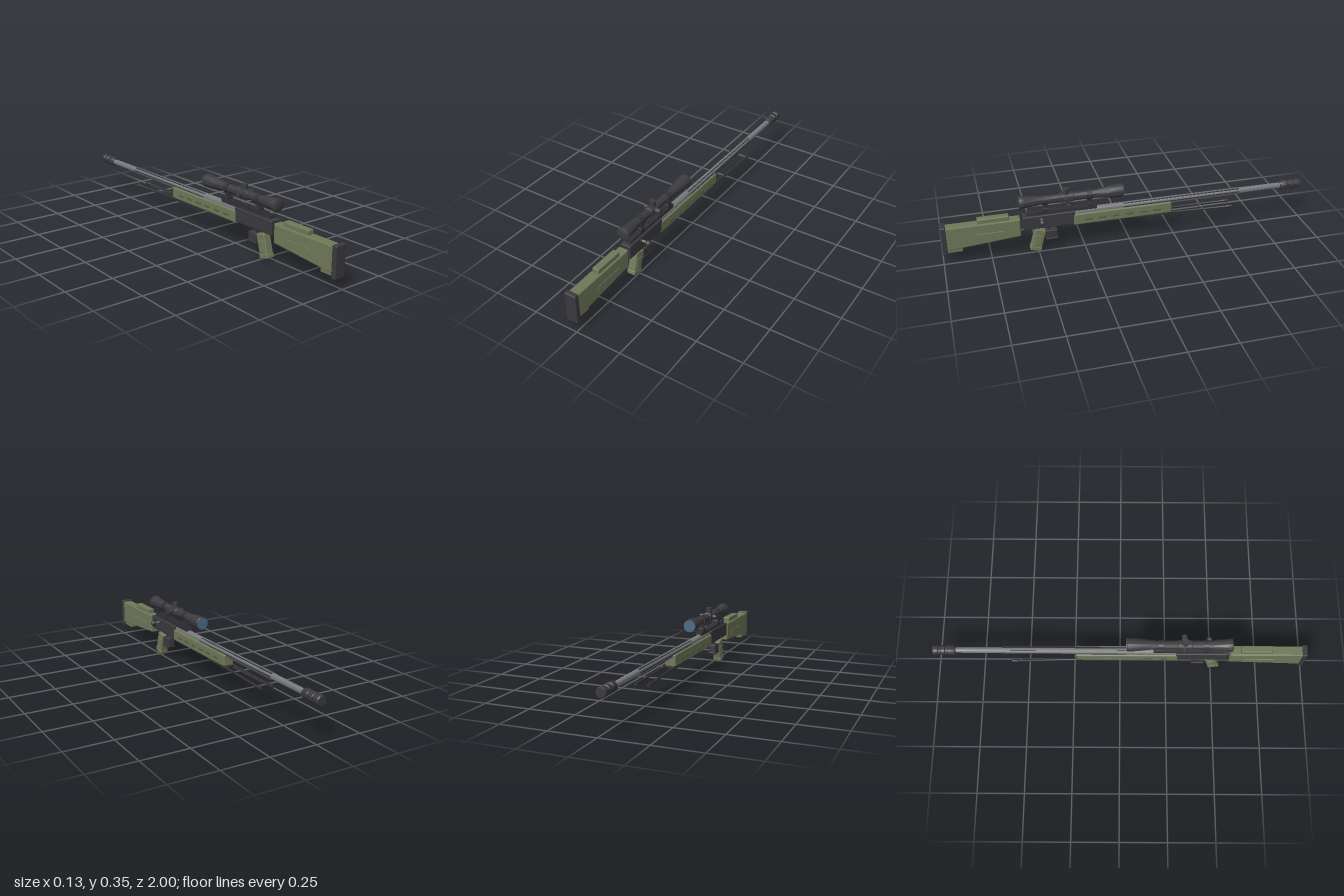
import * as THREE from 'three';
import { toCreasedNormals } from 'three/addons/utils/BufferGeometryUtils.js';
import { RoundedBoxGeometry } from 'three/addons/geometries/RoundedBoxGeometry.js';

const paint = (name, color) => {
  const m = new THREE.MeshStandardMaterial({ color });
  m.name = name;
  return m;
};

export function createModel() {
  const green = paint('olive green', 0x6f7859);
  const darkGreen = paint('dark olive', 0x565d44);
  const gunmetal = paint('gunmetal', 0x3a3a3f);
  const black = paint('black polymer', 0x333337);
  const steel = paint('barrel steel', 0x77797e);
  const scopeGrey = paint('scope grey', 0x3c3c40);
  const glass = paint('lens blue', 0x4a6a85);

  // everything except the bolt handle is centred on the bore line
  const model = new THREE.Group();
  model.name = 'rifle';
  const gun = new THREE.Group();
  gun.name = 'rifleBody';
  gun.position.x = -0.0205;
  model.add(gun);

  const add = (name, geo, mat, x = 0, y = 0, z = 0, parent = gun) => {
    const mesh = new THREE.Mesh(geo, mat);
    mesh.name = name;
    mesh.position.set(x, y, z);
    parent.add(mesh);
    return mesh;
  };
  // box given by its height and length ranges
  const block = (name, mat, w, y0, y1, z0, z1, r = 0.004, x = 0) =>
    add(name, r ? new RoundedBoxGeometry(w, y1 - y0, z1 - z0, 2, r) : new THREE.BoxGeometry(w, y1 - y0, z1 - z0),
      mat, x, (y0 + y1) / 2, (z0 + z1) / 2);
  // turned part along z, profile as [z, radius] with z increasing
  const turned = (name, mat, profile, y, x = 0, sides = 28) => {
    const geo = new THREE.LatheGeometry(profile.map(([z, r]) => new THREE.Vector2(r, z)), sides);
    geo.rotateX(Math.PI / 2);
    return add(name, toCreasedNormals(geo, 0.6), mat, x, y, 0);
  };
  // side outline in (z, y) extruded across the width
  const slab = (name, mat, outline, width, bevel) => {
    const shape = new THREE.Shape(outline.map(([z, y]) => new THREE.Vector2(z, y)));
    const depth = width - 2 * bevel;
    const geo = new THREE.ExtrudeGeometry(shape, {
      depth, bevelEnabled: true, bevelSize: bevel, bevelThickness: bevel, bevelOffset: -bevel, bevelSegments: 2,
    });
    geo.translate(0, 0, -depth / 2).rotateY(-Math.PI / 2);
    return add(name, geo, mat);
  };
  const crossPin = (name, mat, r, len, x, y, z, sides = 20) =>
    add(name, new THREE.CylinderGeometry(r, r, len, sides).rotateZ(Math.PI / 2), mat, x, y, z);

  // --- butt stock ---
  slab('stock', green, [[0.59, 0.118], [0.978, 0.086], [0.978, 0.218], [0.59, 0.218]], 0.056, 0.006);
  block('buttPad', gunmetal, 0.065, 0.062, 0.226, 0.973, 1.0, 0.006);
  block('cheekRest', green, 0.038, 0.21, 0.243, 0.645, 0.81, 0.005);
  block('stockToe', green, 0.036, 0.068, 0.1, 0.895, 0.978, 0.004);
  block('stockPanel', green, 0.06, 0.132, 0.164, 0.67, 0.83, 0.002);

  // --- receiver, magazine and trigger ---
  block('receiver', gunmetal, 0.058, 0.15, 0.226, 0.3, 0.575, 0.005);
  block('magazine', gunmetal, 0.04, 0.078, 0.124, 0.395, 0.455, 0.003);
  block('magazineFloorPlate', black, 0.046, 0.07, 0.08, 0.39, 0.459, 0.003);
  block('trigger', black, 0.008, 0.12, 0.155, 0.435, 0.443, 0);

  // --- pistol grip, raked back ---
  const grip = new THREE.Group();
  grip.name = 'grip';
  grip.position.set(0, 0.075, 0.5);
  grip.rotation.x = -0.27;
  gun.add(grip);
  add('gripBody', new RoundedBoxGeometry(0.044, 0.124, 0.058, 2, 0.006), green, 0, 0, 0, grip);
  add('gripSidePanels', new RoundedBoxGeometry(0.05, 0.062, 0.036, 2, 0.003), green, 0, -0.002, 0, grip);
  add('gripBase', new RoundedBoxGeometry(0.048, 0.024, 0.061, 2, 0.005), green, 0, -0.053, 0, grip);

  // --- top rail with teeth ---
  block('topRail', black, 0.034, 0.222, 0.236, 0.178, 0.55, 0);
  for (let i = 0; i < 21; i++) {
    const z = 0.18 + i * 0.018;
    block('railTooth', black, 0.036, 0.234, 0.245, z, z + 0.009, 0);
  }

  // --- fore-end with vents and lower rail ---
  block('foreEnd', green, 0.06, 0.142, 0.207, -0.235, 0.312, 0.008);
  for (let i = 0; i < 6; i++) {
    const z = 0.23 - i * 0.0765;
    for (const s of [-1, 1]) block('ventSlot', darkGreen, 0.008, 0.167, 0.178, z - 0.021, z + 0.021, 0.002, s * 0.0295);
  }
  block('lowerRail', black, 0.03, 0.132, 0.144, -0.22, -0.045, 0);
  for (let i = 0; i < 9; i++) {
    const z = -0.218 + i * 0.0195;
    block('lowerRailTooth', black, 0.032, 0.126, 0.134, z, z + 0.01, 0);
  }

  // --- folded bipod ---
  block('bipodHinge', black, 0.06, 0.132, 0.148, -0.235, -0.2, 0.003);
  for (const s of [-1, 1]) {
    const leg = turned('bipodLeg', black, [
      [-0.37, 0], [-0.37, 0.009], [-0.34, 0.009], [-0.335, 0.006], [-0.02, 0.0065], [-0.02, 0],
    ], 0.143, s * 0.026);
    leg.position.z = -0.212;
    leg.rotation.set(-0.02, s * -0.02, 0);
  }

  // --- barrel with raised ribs ---
  turned('barrel', steel, [[-0.9, 0], [-0.9, 0.015], [-0.6, 0.0165], [0.2, 0.02], [0.31, 0.02], [0.31, 0]], 0.209);
  for (let i = 0; i < 6; i++) {
    const a = (i * Math.PI) / 3;
    const rib = add('barrelRib', new THREE.BoxGeometry(0.006, 0.006, 0.66), gunmetal,
      Math.cos(a) * 0.0175, 0.209 + Math.sin(a) * 0.0175, -0.3);
    rib.rotation.z = a;
  }

  // --- muzzle brake ---
  turned('muzzleBrake', gunmetal, [
    [-1, 0], [-1, 0.022], [-0.994, 0.026], [-0.972, 0.026], [-0.968, 0.022], [-0.958, 0.022], [-0.954, 0.026],
    [-0.934, 0.026], [-0.93, 0.022], [-0.92, 0.022], [-0.916, 0.026], [-0.885, 0.026], [-0.875, 0.02], [-0.875, 0],
  ], 0.209);
  for (const z of [-0.963, -0.925])
    block('brakePort', black, 0.05, 0.199, 0.219, z - 0.007, z + 0.007, 0.002);

  // --- scope ---
  const sy = 0.303;
  turned('scopeTube', scopeGrey, [
    [0.035, 0], [0.035, 0.034], [0.038, 0.036], [0.1, 0.034], [0.115, 0.031], [0.195, 0.022], [0.3, 0.022],
    [0.303, 0.026], [0.377, 0.026], [0.38, 0.022], [0.48, 0.023], [0.5, 0.027], [0.56, 0.031], [0.583, 0.036],
    [0.588, 0.035], [0.592, 0.028], [0.595, 0.016], [0.596, 0],
  ], sy, 0, 36);
  add('objectiveLens', new THREE.CylinderGeometry(0.032, 0.032, 0.004, 36).rotateX(Math.PI / 2), glass, 0, sy, 0.0345);
  add('elevationTurret', new THREE.CylinderGeometry(0.017, 0.017, 0.04, 24), scopeGrey, 0, 0.334, 0.34);
  crossPin('windageTurret', scopeGrey, 0.015, 0.04, 0.031, sy, 0.34);
  crossPin('focusTurret', scopeGrey, 0.012, 0.034, -0.0285, sy, 0.34);
  for (const z of [0.452, 0.215]) {
    turned('scopeRing', black, [
      [z - 0.013, 0.02], [z - 0.013, 0.0275], [z + 0.013, 0.0275], [z + 0.013, 0.02],
    ], sy);
    block('scopeMount', black, 0.035, 0.238, 0.285, z - 0.01, z + 0.01, 0.002);
    block('mountClamp', black, 0.04, 0.238, 0.262, z - 0.015, z + 0.015, 0.003);
  }

  // --- bolt handle on the model's left ---
  crossPin('boltHandle', steel, 0.006, 0.045, 0.044, 0.207, 0.48);
  crossPin('boltCollar', gunmetal, 0.012, 0.008, 0.03, 0.207, 0.48);
  add('boltKnob', new THREE.SphereGeometry(0.016, 24, 16), gunmetal, 0.069, 0.205, 0.48);

  return model;
}
